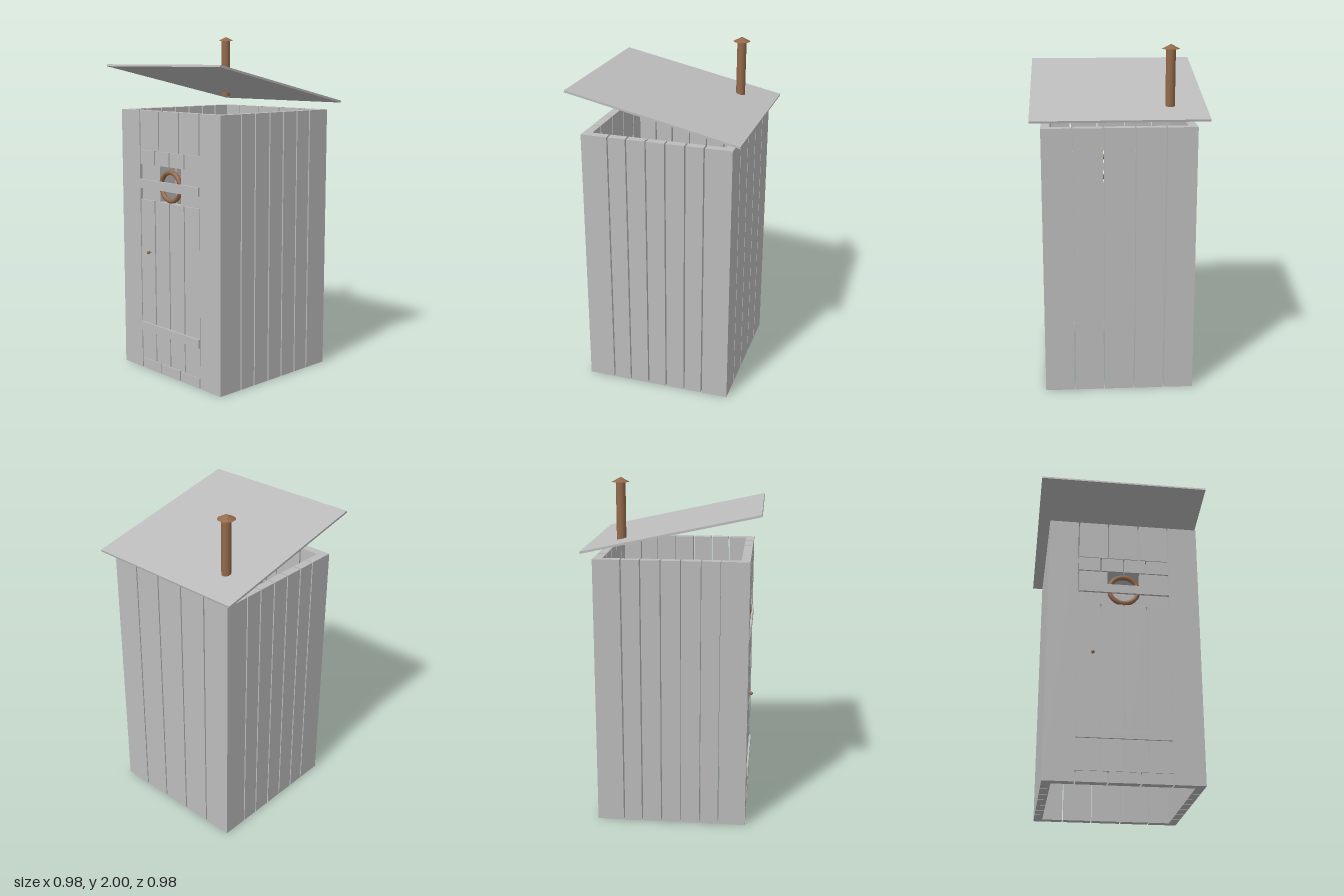
import * as THREE from 'three';

export function createModel() {
  const wood = new THREE.MeshStandardMaterial({ color: 0xbcbcbc });
  wood.name = 'grey wood';
  const copper = new THREE.MeshStandardMaterial({ color: 0x93694a });
  copper.name = 'brown metal';

  const model = new THREE.Group();
  model.name = 'shed';

  const add = (parent, name, geometry, material, x = 0, y = 0, z = 0) => {
    const mesh = new THREE.Mesh(geometry, material);
    mesh.name = name;
    mesh.position.set(x, y, z);
    parent.add(mesh);
    return mesh;
  };
  // Box given by its limits on each axis
  const board = (parent, name, x0, x1, y0, y1, z0, z1) =>
    add(parent, name, new THREE.BoxGeometry(x1 - x0, y1 - y0, z1 - z0), wood,
      (x0 + x1) / 2, (y0 + y1) / 2, (z0 + z1) / 2);
  const group = (name) => {
    const g = new THREE.Group();
    g.name = name;
    model.add(g);
    return g;
  };

  const H = 1.565, X = 0.432, Z = 0.435, T = 0.05, gap = 0.004;
  const wallCuts = [-X, -0.26, -0.088, 0.088, 0.26, X];
  const sideCuts = [-Z, -0.278, -0.17, -0.056, 0.056, 0.17, 0.278, Z];
  // Calls fn with the limits of every plank, leaving gaps between neighbours
  const planks = (cuts, fn) => {
    for (let i = 0; i < cuts.length - 1; i++) {
      const a = cuts[i] + (i ? gap : 0);
      const b = cuts[i + 1] - (i < cuts.length - 2 ? gap : 0);
      fn(a, b, i);
    }
  };

  // Back wall
  const back = group('backWall');
  planks(wallCuts, (a, b) => board(back, 'backPlank', a, b, 0, H, -Z, -Z + T));

  // Side walls, ending against the front and back walls
  for (const s of [-1, 1]) {
    const side = group(s > 0 ? 'leftWall' : 'rightWall');
    planks(sideCuts, (a, b) => {
      const z0 = Math.max(a, -Z + T), z1 = Math.min(b, Z - T);
      board(side, 'sidePlank', s > 0 ? X - T : -X, s > 0 ? X : -X + T, 0, H, z0, z1);
    });
  }

  // Front wall: posts, header and sill, with backing beside the window
  const front = group('frontWall');
  const doorBottom = 0.06, doorTop = 1.335, winBottom = 1.04, winTop = 1.25;
  planks(wallCuts, (a, b, i) => {
    if (i === 0 || i === 4) {
      board(front, 'frontPost', a, b, 0, H, Z - T, Z);
      return;
    }
    board(front, 'header', a, b, doorTop, H, Z - T, Z);
    board(front, 'sill', a, b, 0, doorBottom, Z - T, Z);
    if (i !== 2) board(front, 'windowSidePanel', a, b, winBottom, winTop, Z - T, Z - 0.012);
  });

  // Door of four boards, interrupted by the window band
  const door = group('door');
  planks([-0.26, -0.13, 0, 0.13, 0.26], (a, b) => {
    board(door, 'doorBoard', a, b, doorBottom + 0.002, winBottom, Z - 0.04, Z - 0.002);
    board(door, 'doorTopBoard', a, b, winTop, doorTop - 0.002, Z - 0.04, Z - 0.002);
  });
  for (const y of [0.265, 1.135])
    board(door, 'doorBrace', -0.26, 0.26, y - 0.026, y + 0.026, Z - 0.005, Z + 0.009);
  add(door, 'windowRing', new THREE.TorusGeometry(0.083, 0.014, 10, 32), copper, 0, 1.137, Z - 0.014);
  add(door, 'doorKnob', new THREE.SphereGeometry(0.01, 12, 8), copper, -0.175, 0.73, Z + 0.016);
  const stem = add(door, 'knobStem', new THREE.CylinderGeometry(0.004, 0.004, 0.016, 8), copper, -0.175, 0.73, Z + 0.006);
  stem.rotation.x = Math.PI / 2;

  // Sloping roof sheet, high at the front
  const slope = Math.atan2(0.213, 0.98);
  const roof = add(model, 'roof', new THREE.BoxGeometry(0.984, 0.012, 1.005), wood, 0, 1.718, 0.002);
  roof.rotation.x = -slope;

  // Chimney pipe through the roof with a conical cap
  const chimney = group('chimney');
  chimney.position.set(-0.29, 0, -0.29);
  add(chimney, 'pipe', new THREE.CylinderGeometry(0.027, 0.027, 0.35, 16), copper, 0, 1.803, 0);
  const cap = new THREE.ConeGeometry(0.05, 0.026, 11).toNonIndexed();
  cap.computeVertexNormals();
  add(chimney, 'chimneyCap', cap, copper, 0, 1.987, 0);

  return model;
}
